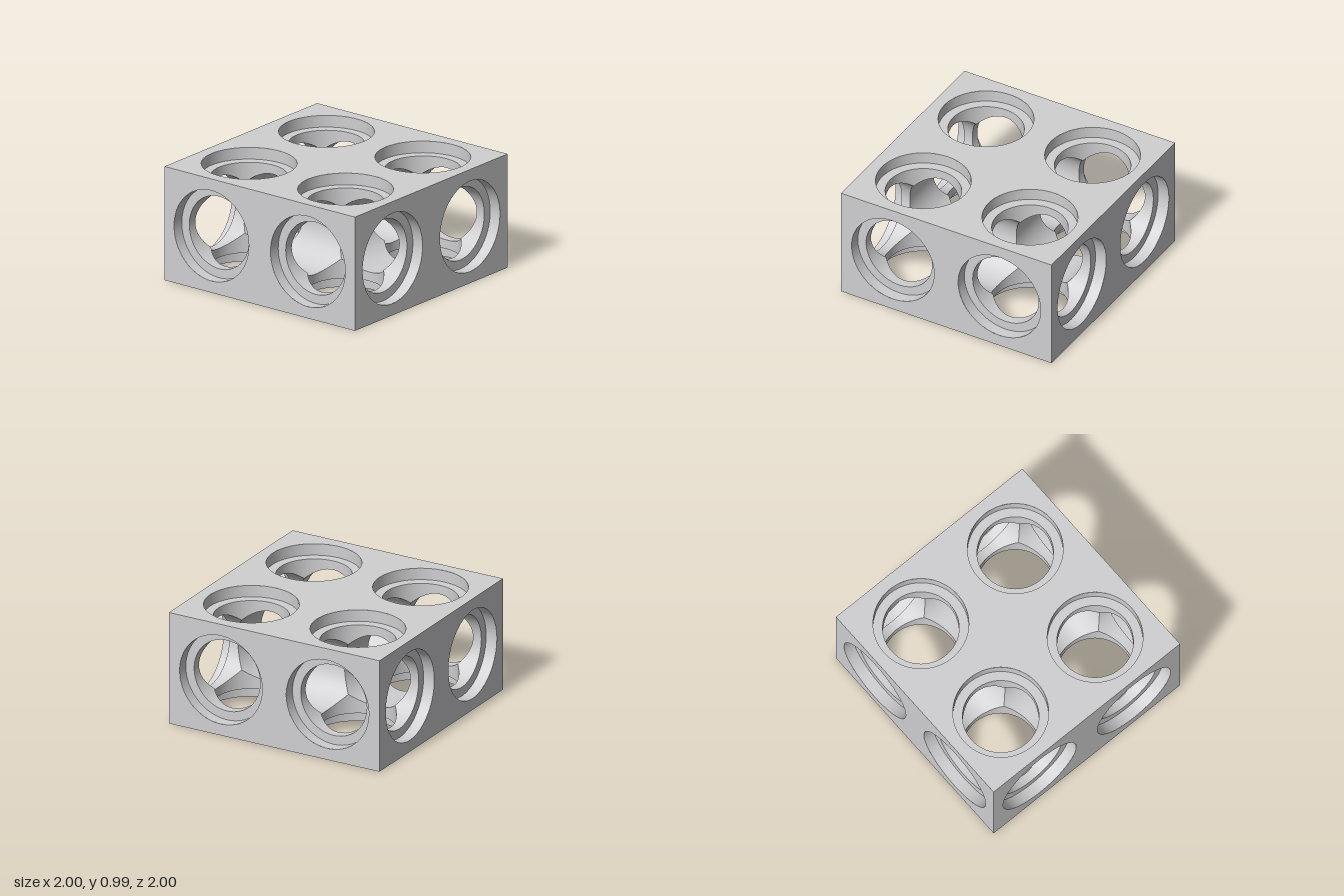
import * as THREE from 'three';
import { mergeGeometries } from 'three/addons/utils/BufferGeometryUtils.js';

const SEG = 64;
const PITCH = 0.5063;     // hole centres from the middle
const HALF_H = 1 - PITCH; // half height of the block
const BORE = 0.3138;      // through hole radius
const RIM = 0.3924;       // counterbore radius
const LEDGE = 0.3924;     // ledge distance from the cell centre

const UP = new THREE.Vector3(0, 1, 0);
const aim = (dir) => new THREE.Quaternion().setFromUnitVectors(UP, dir);

// Inward-facing surface of revolution; profile runs from the outside in
const turned = (...pts) =>
  new THREE.LatheGeometry(pts.map(([r, y]) => new THREE.Vector2(r, y)), SEG);

// Hole wall whose inner end is cut where the three crossing bores meet
function boreWall(end) {
  const geo = turned([BORE, end], [BORE, 0]);
  const p = geo.attributes.position;
  for (let i = 0; i < p.count; i++) {
    if (p.getY(i) < 0.01) p.setY(i, Math.max(Math.abs(p.getX(i)), Math.abs(p.getZ(i))));
  }
  return geo;
}

// Counterbored hole that opens on an outer face
const openHole = () => mergeGeometries([
  turned([RIM, HALF_H], [RIM, LEDGE]),
  turned([RIM, LEDGE], [BORE, LEDGE]),
  boreWall(LEDGE),
]);

// Flat face with round openings
function panel(halfW, halfH, centres) {
  const s = new THREE.Shape();
  s.moveTo(-halfW, -halfH);
  s.lineTo(halfW, -halfH);
  s.lineTo(halfW, halfH);
  s.lineTo(-halfW, halfH);
  s.closePath();
  for (const [x, y] of centres) {
    const h = new THREE.Path();
    h.absarc(x, y, RIM, 0, Math.PI * 2, true);
    s.holes.push(h);
  }
  return new THREE.ShapeGeometry(s, SEG);
}

export function createModel() {
  const model = new THREE.Group();
  model.name = 'drilledBlock';
  const body = new THREE.Group();
  body.name = 'block';
  body.position.y = HALF_H;
  model.add(body);

  const grey = new THREE.MeshStandardMaterial({ color: 0xd0d0d2 });
  grey.name = 'lightGrey';

  const add = (parent, name, geo) => {
    const m = new THREE.Mesh(geo, grey);
    m.name = name;
    parent.add(m);
    return m;
  };

  // Four side faces
  const sideGeo = panel(1, HALF_H, [[-PITCH, 0], [PITCH, 0]]);
  ['frontFace', 'leftFace', 'backFace', 'rightFace'].forEach((name, i) => {
    const m = add(body, name, sideGeo);
    const a = i * Math.PI / 2;
    m.rotation.y = a;
    m.position.set(Math.sin(a), 0, Math.cos(a));
  });

  // Top and bottom faces
  const corners = [[-PITCH, -PITCH], [PITCH, -PITCH], [-PITCH, PITCH], [PITCH, PITCH]];
  const lidGeo = panel(1, 1, corners);
  for (const s of [1, -1]) {
    const m = add(body, s > 0 ? 'topFace' : 'bottomFace', lidGeo);
    m.rotation.x = -s * Math.PI / 2;
    m.position.y = s * HALF_H;
  }

  // Four cells, each with three bores crossing at its centre
  const outerHole = openHole();
  const tunnel = boreWall(PITCH);
  for (const [x, z] of corners) {
    const cell = new THREE.Group();
    cell.name = 'cell';
    cell.position.set(x, 0, z);
    body.add(cell);
    const hole = (name, geo, dx, dy, dz) =>
      add(cell, name, geo).quaternion.copy(aim(new THREE.Vector3(dx, dy, dz)));
    const sx = Math.sign(x), sz = Math.sign(z);
    hole('topHole', outerHole, 0, 1, 0);
    hole('bottomHole', outerHole, 0, -1, 0);
    hole('sideHole', outerHole, sx, 0, 0);
    hole('endHole', outerHole, 0, 0, sz);
    hole('crossTunnel', tunnel, -sx, 0, 0);
    hole('lengthTunnel', tunnel, 0, 0, -sz);
  }
  return model;
}
